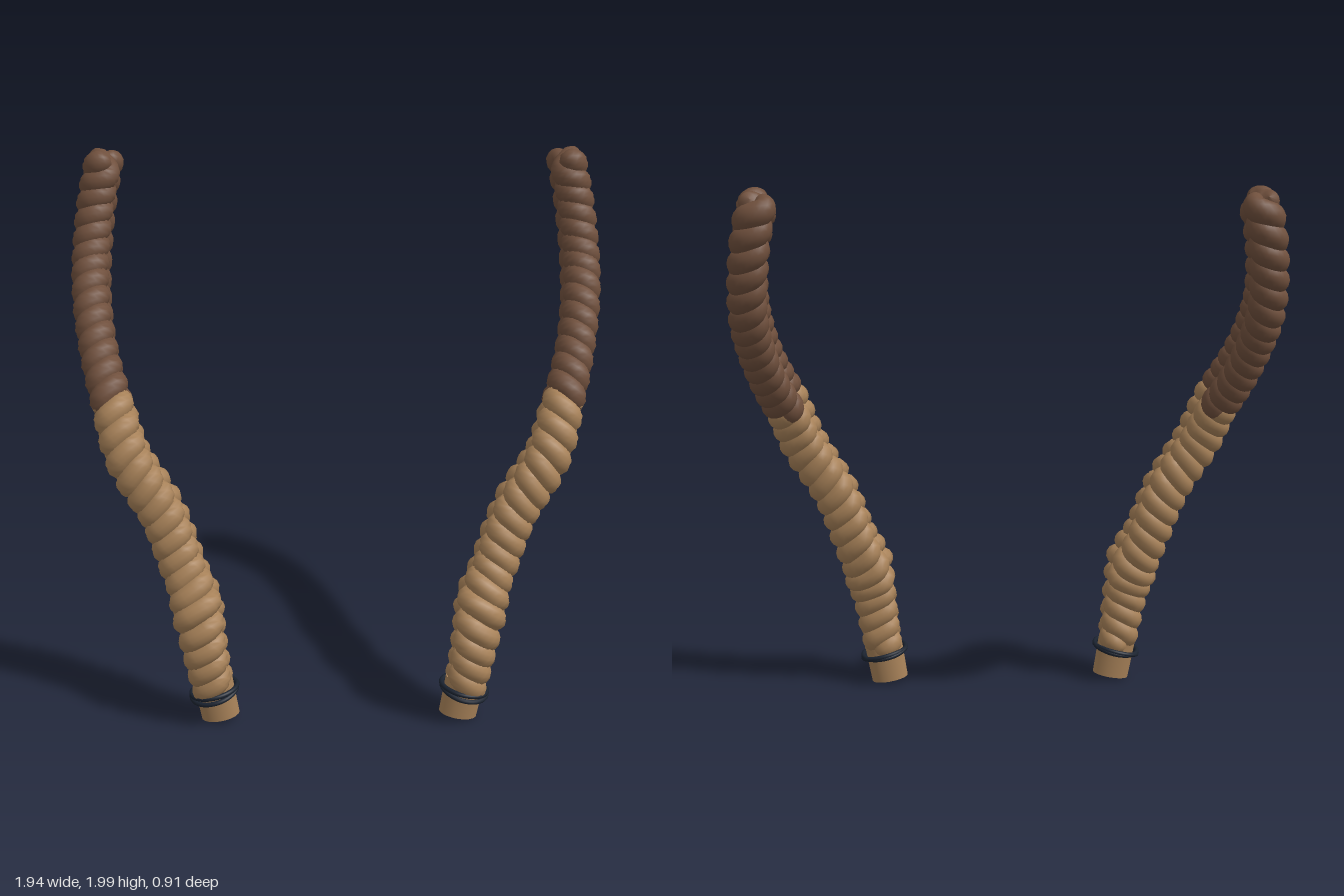
import * as THREE from 'three';

const tan = new THREE.MeshStandardMaterial({ color: 0xa88259 });
tan.name = 'tanHair';
const brown = new THREE.MeshStandardMaterial({ color: 0x70503d });
brown.name = 'brownHair';
const navy = new THREE.MeshStandardMaterial({ color: 0x1b2330 });
navy.name = 'navyBand';

// centre line of the left braid, from the tied end up to the root
const spine = new THREE.CatmullRomCurve3([
  [0.462, 0.12, 0.335], [0.475, 0.2, 0.348], [0.505, 0.4, 0.345], [0.525, 0.5, 0.31],
  [0.565, 0.6, 0.272], [0.635, 0.8, 0.237], [0.75, 1.0, 0.21], [0.8, 1.15, 0.14],
  [0.855, 1.3, 0.01], [0.89, 1.45, -0.12], [0.9, 1.6, -0.25], [0.88, 1.8, -0.335],
  [0.845, 1.965, -0.36],
].map((p) => new THREE.Vector3(...p)));
const CROSSINGS = Math.round(spine.getLength() / 0.21);
const { lerp, smoothstep, clamp } = THREE.MathUtils;

// axes of the flat braid: along, through its thickness, across its width
function frame(u) {
  const along = spine.getTangentAt(u);
  const depth = new THREE.Vector3(1, 0, 0).addScaledVector(along, -along.x).normalize();
  return { along, depth, across: new THREE.Vector3().crossVectors(along, depth).negate() };
}

// the braid swells a little near its lower bend
const swell = (u) => 1 + 0.15 * Math.exp(-(((u - 0.165) / 0.04) ** 2));

// a strand weaves in a figure eight around the centre line
function strandPoint(u, phase) {
  const t = u * CROSSINGS * Math.PI * 2 + phase;
  const f = frame(u);
  const fill = lerp(0.8, 1, smoothstep(u, 0, 0.12)) * swell(u);
  const upper = smoothstep(u, 0.4, 0.7);
  return spine.getPointAt(u)
    .addScaledVector(f.across, lerp(0.054, 0.061, upper) * fill * Math.sin(t))
    .addScaledVector(f.depth, lerp(0.04, 0.028, upper) * fill * Math.sin(2 * t));
}

// sweep an oval section along one strand; both ends close to a point
function strandGeometry(u0, u1, phase) {
  const rows = Math.ceil((u1 - u0) * 330), sides = 14;
  const pos = [], index = [];
  for (let i = 0; i <= rows; i++) {
    const u = clamp(lerp(u0, u1, i / rows), 0, 1);
    const a = Math.max(u - 0.0008, 0), b = Math.min(u + 0.0008, 1);
    const p = strandPoint(u, phase);
    const dir = strandPoint(b, phase).sub(strandPoint(a, phase)).normalize();
    const { along } = frame(u);
    const tall = along.clone().addScaledVector(dir, -along.dot(dir)).normalize();
    const out = new THREE.Vector3().crossVectors(tall, dir);
    const end = Math.min(i, rows - i) / 5;
    const size = end >= 1 ? 1 : Math.sqrt(1 - (1 - end) ** 2);
    const thin = lerp(1, 0.94, smoothstep(u, 0.4, 0.7)) * size * swell(u);
    for (let k = 0; k < sides; k++) {
      const q = (k / sides) * Math.PI * 2;
      const v = p.clone().addScaledVector(out, 0.045 * thin * Math.cos(q))
        .addScaledVector(tall, 0.045 * size * Math.sin(q));
      pos.push(v.x, v.y, v.z);
      if (i < rows) {
        const n = (k + 1) % sides, r = i * sides;
        index.push(r + k, r + n, r + k + sides, r + n, r + n + sides, r + k + sides);
      }
    }
  }
  const g = new THREE.BufferGeometry();
  g.setAttribute('position', new THREE.Float32BufferAttribute(pos, 3));
  g.setIndex(index);
  g.computeVertexNormals();
  return g;
}

// reflect a geometry in x, turning its faces back outward
function mirrored(geometry) {
  const g = geometry.clone();
  g.scale(-1, 1, 1);
  const ids = g.index.array;
  for (let i = 0; i < ids.length; i += 3) [ids[i + 1], ids[i + 2]] = [ids[i + 2], ids[i + 1]];
  const normal = g.attributes.normal;
  const source = geometry.attributes.normal;
  for (let i = 0; i < normal.count; i++) {
    normal.setXYZ(i, -source.getX(i), source.getY(i), source.getZ(i));
  }
  return g;
}

export function createModel() {
  const model = new THREE.Group();
  const parts = [];

  // find where the tan hair gives way to brown
  let split = 0;
  while (spine.getPointAt(split).y < 1.17) split += 0.002;
  for (let i = 0; i < 3; i++) {
    const phase = (i * Math.PI * 2) / 3;
    parts.push(['tanStrand', strandGeometry(0, split + 0.01, phase), tan]);
    parts.push(['brownStrand', strandGeometry(split - 0.01, 1, phase), brown]);
  }

  // loose end below the tie
  const tail = new THREE.CylinderGeometry(1, 0.96, 0.15, 20);
  tail.scale(0.074, 1, 0.054).rotateZ(-0.17).translate(0.454, 0.086, 0.332);
  parts.push(['looseEnd', tail, tan]);

  // two loops of hair tie
  for (const [lift, roll, pitch] of [[0.117, -0.24, 0.1], [0.125, -0.2, -0.08]]) {
    const band = new THREE.TorusGeometry(0.086, 0.009, 10, 40);
    band.rotateX(Math.PI / 2 + pitch).rotateZ(roll).translate(0.462, lift, 0.335);
    parts.push(['hairTie', band, navy]);
  }

  for (const side of ['left', 'right']) {
    const braid = new THREE.Group();
    braid.name = side + 'Braid';
    for (const [name, geometry, material] of parts) {
      const mesh = new THREE.Mesh(side === 'left' ? geometry : mirrored(geometry), material);
      mesh.name = name;
      braid.add(mesh);
    }
    model.add(braid);
  }
  return model;
}
